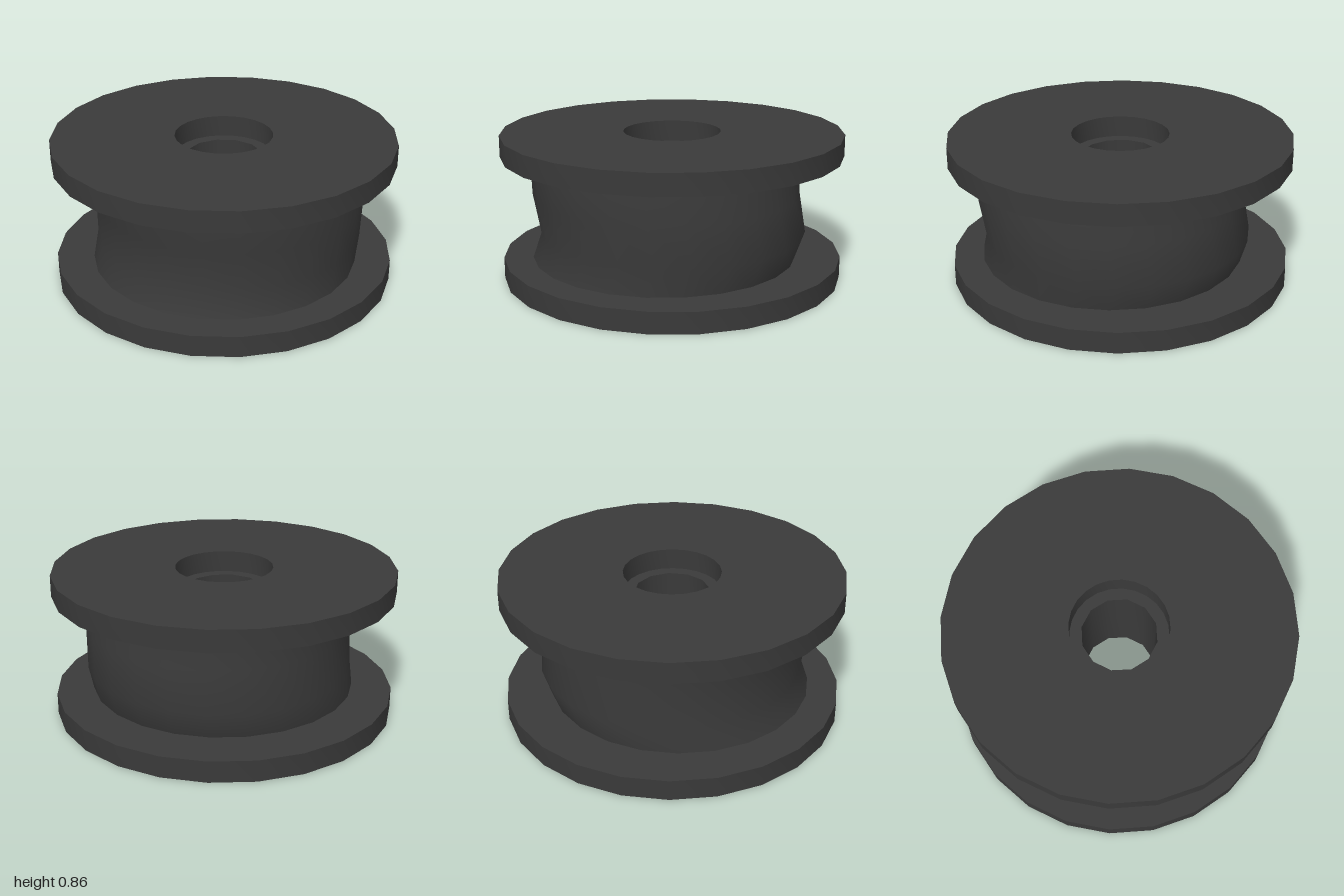
import * as THREE from 'three';
import { toCreasedNormals } from 'three/addons/utils/BufferGeometryUtils.js';

const SIDES = 24;
const HEIGHT = 0.86;
const FLANGE = 0.125;

export function createModel() {
  const group = new THREE.Group();
  const material = new THREE.MeshStandardMaterial({ color: 0x3a3a3a });

  const add = (name, geometry, y = 0) => {
    const mesh = new THREE.Mesh(toCreasedNormals(geometry, 0.6), material);
    mesh.name = name;
    mesh.position.y = y;
    group.add(mesh);
  };
  const lathe = (points) =>
    new THREE.LatheGeometry(points.map(([r, y]) => new THREE.Vector2(r, y)), SIDES);

  // Flanges: flat discs with a round bore
  const flange = [[0.285, 0], [1, 0], [1, FLANGE], [0.285, FLANGE], [0.285, 0]];
  add('bottomFlange', lathe(flange));
  add('topFlange', lathe(flange), HEIGHT - FLANGE);

  // Core drum: rings of equal radius, each shifted slightly off axis [y, x, z]
  const rings = [
    [FLANGE, 0, 0.05],
    [0.28, 0.03, 0.005],
    [0.52, 0.03, 0.05],
    [HEIGHT - FLANGE, 0, 0.05],
  ];
  const core = lathe(rings.map(([y]) => [0.78, y]));
  const position = core.attributes.position;
  for (let i = 0; i < position.count; i++) {
    const [, dx, dz] = rings[i % rings.length];
    position.setX(i, position.getX(i) + dx);
    position.setZ(i, position.getZ(i) + dz);
  }
  add('coreDrum', core);

  // Sleeve: narrower twelve-sided bore that leaves a ledge inside each flange
  const polygon = (radius, sides, start) =>
    Array.from({ length: sides }, (_, i) => {
      const a = start + (i / sides) * Math.PI * 2;
      return new THREE.Vector2(radius * Math.sin(a), -radius * Math.cos(a));
    });
  const shape = new THREE.Shape(polygon(0.4, SIDES, 0));
  shape.holes.push(new THREE.Path(polygon(0.22, 12, 0.11)));
  const sleeve = new THREE.ExtrudeGeometry(shape, {
    depth: HEIGHT - 2 * FLANGE,
    bevelEnabled: false,
  });
  sleeve.rotateX(-Math.PI / 2);
  add('boreSleeve', sleeve, FLANGE);

  return group;
}
